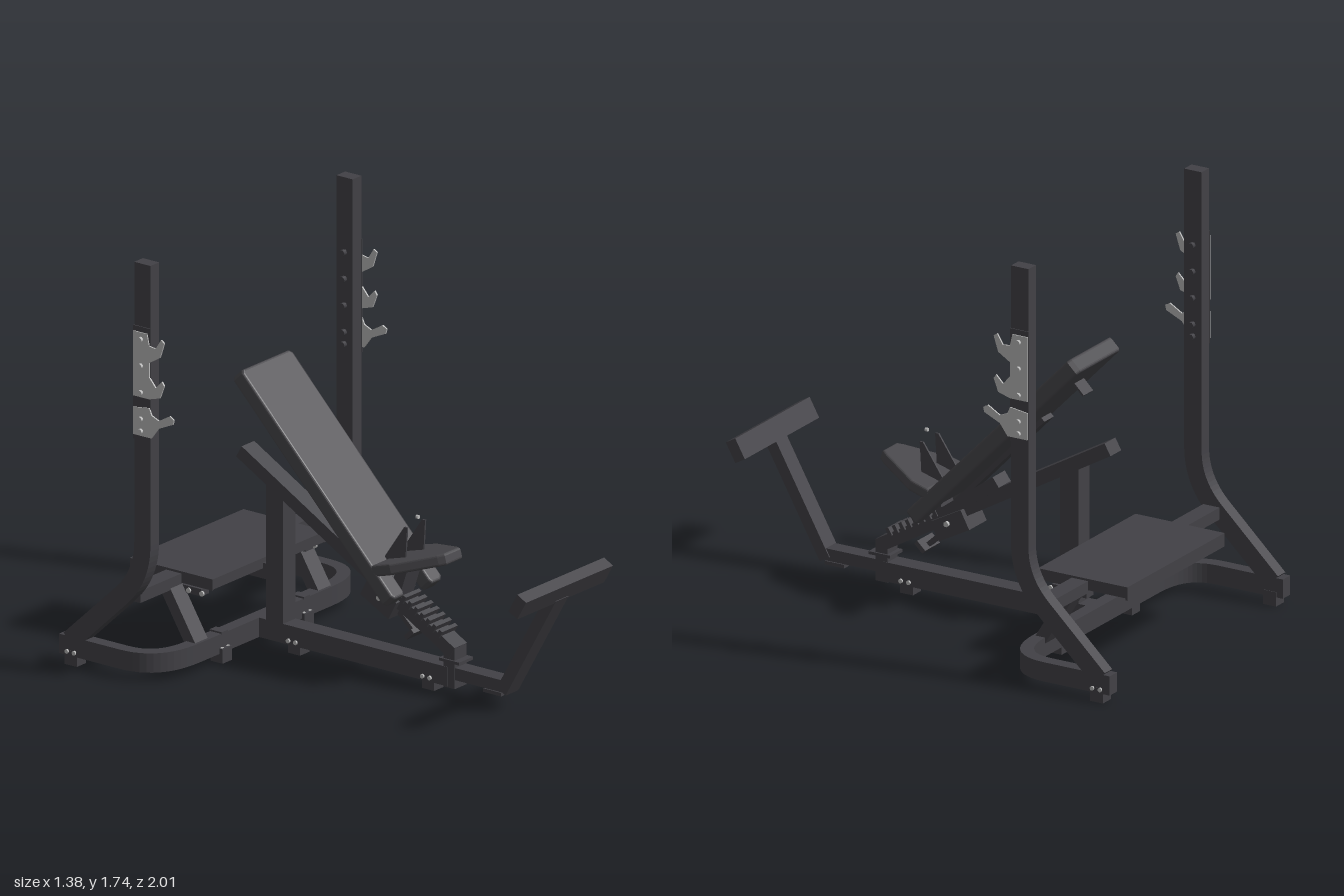
import * as THREE from 'three';

const mat = (name, color) => Object.assign(new THREE.MeshStandardMaterial({ color }), { name });

export function createModel() {
  const root = new THREE.Group();
  root.name = 'inclineBench';
  const frame = mat('charcoalFrame', 0x424146);
  const padMat = mat('padVinyl', 0x48474b);
  const steel = mat('steel', 0xb9b9b9);

  const add = (name, geo, material = frame) => {
    const m = new THREE.Mesh(geo, material);
    m.name = name;
    root.add(m);
    return m;
  };
  const box = (name, w, h, d, x, y, z, material) =>
    add(name, new THREE.BoxGeometry(w, h, d).translate(x, y, z), material);

  // Straight tube in a side plane, from a = [z, y] to b = [z, y]
  const beam = (name, a, b, w, t, x = 0, material = frame) => {
    const dz = b[0] - a[0], dy = b[1] - a[1];
    const m = add(name, new THREE.BoxGeometry(w, Math.hypot(dz, dy), t), material);
    m.position.set(x, (a[1] + b[1]) / 2, (a[0] + b[0]) / 2);
    m.rotation.x = Math.atan2(dz, dy);
    return m;
  };
  const shapeOf = pts => new THREE.Shape(pts.map(p => new THREE.Vector2(p[0], p[1])));
  const slab = (shape, t) =>
    new THREE.ExtrudeGeometry(shape, { depth: t, bevelEnabled: false }).translate(0, 0, -t / 2);
  // Outline in (z, y), thickness along x
  const sidePlate = (name, shape, t, x, material) =>
    add(name, slab(shape, t).rotateY(-Math.PI / 2).translate(x, 0, 0), material);
  // Constant-width band around a centre line
  const band = (pts, w) => {
    const side = s => pts.map((p, i) => {
      const a = pts[Math.max(i - 1, 0)], b = pts[Math.min(i + 1, pts.length - 1)];
      const dx = b[0] - a[0], dy = b[1] - a[1], l = Math.hypot(dx, dy);
      return [p[0] - s * dy / l * w / 2, p[1] + s * dx / l * w / 2];
    });
    return shapeOf([...side(1), ...side(-1).reverse()]);
  };
  const bend = (a, c, b) => new THREE.QuadraticBezierCurve(
    new THREE.Vector2(...a), new THREE.Vector2(...c), new THREE.Vector2(...b))
    .getPoints(12).map(p => [p.x, p.y]);
  // Cushion with softened edges, outline in its own plane
  const cushion = (name, pts, t, y, z, tilt) => {
    const e = 0.01;
    const geo = new THREE.ExtrudeGeometry(shapeOf(pts), {
      depth: t - 2 * e, bevelThickness: e, bevelSize: e, bevelOffset: -e, bevelSegments: 3,
    }).translate(0, 0, -(t - 2 * e) / 2);
    const m = add(name, geo, padMat);
    m.position.set(0, y, z);
    m.rotation.x = tilt;
  };
  const bolt = (x, y, z, len, axis = 'x', r = 0.011) => {
    const g = new THREE.CylinderGeometry(r, r, len, 10);
    if (axis === 'x') g.rotateZ(Math.PI / 2); else g.rotateX(Math.PI / 2);
    add('bolt', g.translate(x, y, z), steel);
  };

  // Curved rear base tube
  const half = [[0.64, -1], ...bend([0.64, -0.7], [0.64, -0.527], [0.42, -0.527])];
  const base = [...half, ...half.map(([x, z]) => [-x, z]).reverse()];
  add('rearBase', slab(band(base, 0.055), 0.08).rotateX(Math.PI / 2).translate(0, 0.078, 0));

  // Central spine and front leg
  box('spine', 0.08, 0.08, 0.95, 0, 0.078, -0.04);
  box('frontPost', 0.075, 0.17, 0.055, 0, 0.118, 0.44);
  box('frontSpine', 0.07, 0.05, 0.26, 0, 0.095, 0.57);
  beam('footStrut', [0.7, 0.075], [0.95, 0.52], 0.08, 0.05);
  beam('footBar', [0.942, 0.51], [0.986, 0.588], 0.55, 0.05);
  box('frontPad', 0.08, 0.015, 0.09, 0, 0.062, 0.655);
  box('frontBracket', 0.09, 0.012, 0.1, 0, 0.145, 0.445);
  box('rearPost', 0.08, 0.58, 0.085, 0, 0.4, -0.424);
  beam('seatRail', [0.455, 0.18], [-0.6, 0.785], 0.08, 0.055);

  // Adjustment ladder on the rail
  for (let i = 0; i < 8; i++) {
    const z = 0.4 - i * 0.03, y = 0.25 + i * 0.0172;
    beam('railTooth', [z + 0.007, y - 0.004], [z - 0.007, y + 0.004], 0.1, 0.035);
  }
  // Sliding carriage and its lever
  beam('carriageArm', [0.17, 0.36], [-0.09, 0.55], 0.09, 0.05);
  beam('carriage', [0.18, 0.3], [0.04, 0.375], 0.13, 0.085);
  beam('leverBar', [0.25, 0.21], [0.13, 0.32], 0.03, 0.02);
  beam('leverGrip', [0.235, 0.2], [0.272, 0.235], 0.11, 0.02);
  for (const s of [-1, 1]) bolt(s * 0.068, 0.345, 0.12, 0.02);

  // Back cushion with a notch at the lower end
  const w = 0.16, n = 0.08, l = 0.545, c = 0.015;
  cushion('backCushion', [
    [-w, -l + c], [-w + c, -l], [-n - 0.01, -l], [-n, -l + c], [-n, -l + 0.12], [n, -l + 0.12],
    [n, -l + c], [n + 0.01, -l], [w - c, -l], [w, -l + c], [w, l - c], [w - c, l], [-w + c, l], [-w, l - c],
  ], 0.066, 0.763, -0.142, -0.767);
  beam('backHandle', [-0.43, 1.04], [-0.485, 0.985], 0.07, 0.008);
  beam('backBrace', [0.1, 0.43], [-0.3, 0.85], 0.07, 0.02);

  // Seat cushion, its stem and side fins
  cushion('seatCushion', [
    [-0.05, 0], [0.05, 0], [0.068, 0.025], [0.155, 0.2], [0.16, 0.287],
    [-0.16, 0.287], [-0.155, 0.2], [-0.068, 0.025],
  ], 0.048, 0.566, 0.432, -1.85);
  beam('seatStem', [0.17, 0.35], [0.22, 0.5], 0.09, 0.05);
  const fin = shapeOf([[0.25, 0.66], [0.235, 0.66], [0.14, 0.52], [0.155, 0.48], [0.24, 0.5]]);
  bolt(0, 0.69, 0.255, 0.012, 'z', 0.008);

  // Spotter platform with lips, beam and brackets
  box('platform', 0.72, 0.014, 0.41, 0, 0.363, -0.685);
  box('platformRearLip', 0.72, 0.055, 0.008, 0, 0.342, -0.886);
  box('platformFrontLip', 0.72, 0.04, 0.008, 0, 0.347, -0.484);
  box('crossBeam', 1.24, 0.05, 0.075, 0, 0.336, -0.672);
  box('platformBracket', 0.08, 0.065, 0.16, 0, 0.317, -0.54);

  const path = [[-0.587, 1.74], ...bend([-0.587, 0.58], [-0.587, 0.445], [-0.69, 0.345]), [-0.95, 0.098]];
  const upright = band(path, 0.08);
  const upperHook = shapeOf([
    [-0.627, 1.458], [-0.558, 1.458], [-0.547, 1.41], [-0.515, 1.405], [-0.488, 1.448], [-0.472, 1.437],
    [-0.493, 1.373], [-0.547, 1.34], [-0.547, 1.281], [-0.515, 1.244], [-0.483, 1.276], [-0.472, 1.26],
    [-0.493, 1.206], [-0.547, 1.19], [-0.627, 1.19],
  ]);
  const lowerHook = shapeOf([
    [-0.627, 1.142], [-0.547, 1.153], [-0.535, 1.125], [-0.5, 1.11], [-0.445, 1.142], [-0.424, 1.13],
    [-0.429, 1.11], [-0.5, 1.078], [-0.536, 1.03], [-0.627, 1.03],
  ]);

  // Mirrored parts
  for (const s of [-1, 1]) {
    sidePlate('upright', upright, 0.055, s * 0.64);
    sidePlate('upperBarHook', upperHook, 0.007, s * 0.673, steel);
    sidePlate('lowerBarHook', lowerHook, 0.007, s * 0.673, steel);
    box('hookBacking', 0.006, 0.47, 0.085, s * 0.6685, 1.245, -0.587);
    for (const y of [1.43, 1.32, 1.21, 1.1, 1.05]) {
      bolt(s * 0.68, y, -0.587, 0.016);
      add('boltNut', new THREE.CylinderGeometry(0.013, 0.013, 0.02, 6)
        .rotateZ(Math.PI / 2).translate(s * 0.605, y, -0.587));
    }
    sidePlate('seatFin', fin, 0.008, s * 0.057);
    beam('beamSupport', [-0.53, 0.1], [-0.665, 0.32], 0.08, 0.05, s * 0.39);
    box('platformSideLip', 0.008, 0.04, 0.405, s * 0.356, 0.343, -0.685);
    box('platformFlange', 0.05, 0.03, 0.16, s * 0.33, 0.3, -0.62);
    for (const z of [-0.535, -0.6]) bolt(s * 0.357, 0.298, z, 0.008);
    // Feet and their fasteners
    box('rearFoot', 0.06, 0.06, 0.06, s * 0.64, 0.03, -0.94);
    box('middleFoot', 0.06, 0.06, 0.06, s * 0.26, 0.03, -0.515);
    box('footClamp', 0.04, 0.01, 0.06, s * 0.26, 0.12, -0.527);
    for (const d of [-0.018, 0.018]) {
      bolt(s * 0.26 + d, 0.055, -0.498, 0.012, 'z', 0.009);
      bolt(s * 0.67, 0.055, -0.94 + d, 0.012, 'x', 0.009);
      for (const z of [0.33, -0.335]) bolt(s * 0.042, 0.055, z + d, 0.012, 'x', 0.009);
    }
  }
  for (const z of [0.33, -0.335]) box('spineFoot', 0.06, 0.06, 0.06, 0, 0.03, z);

  return root;
}
